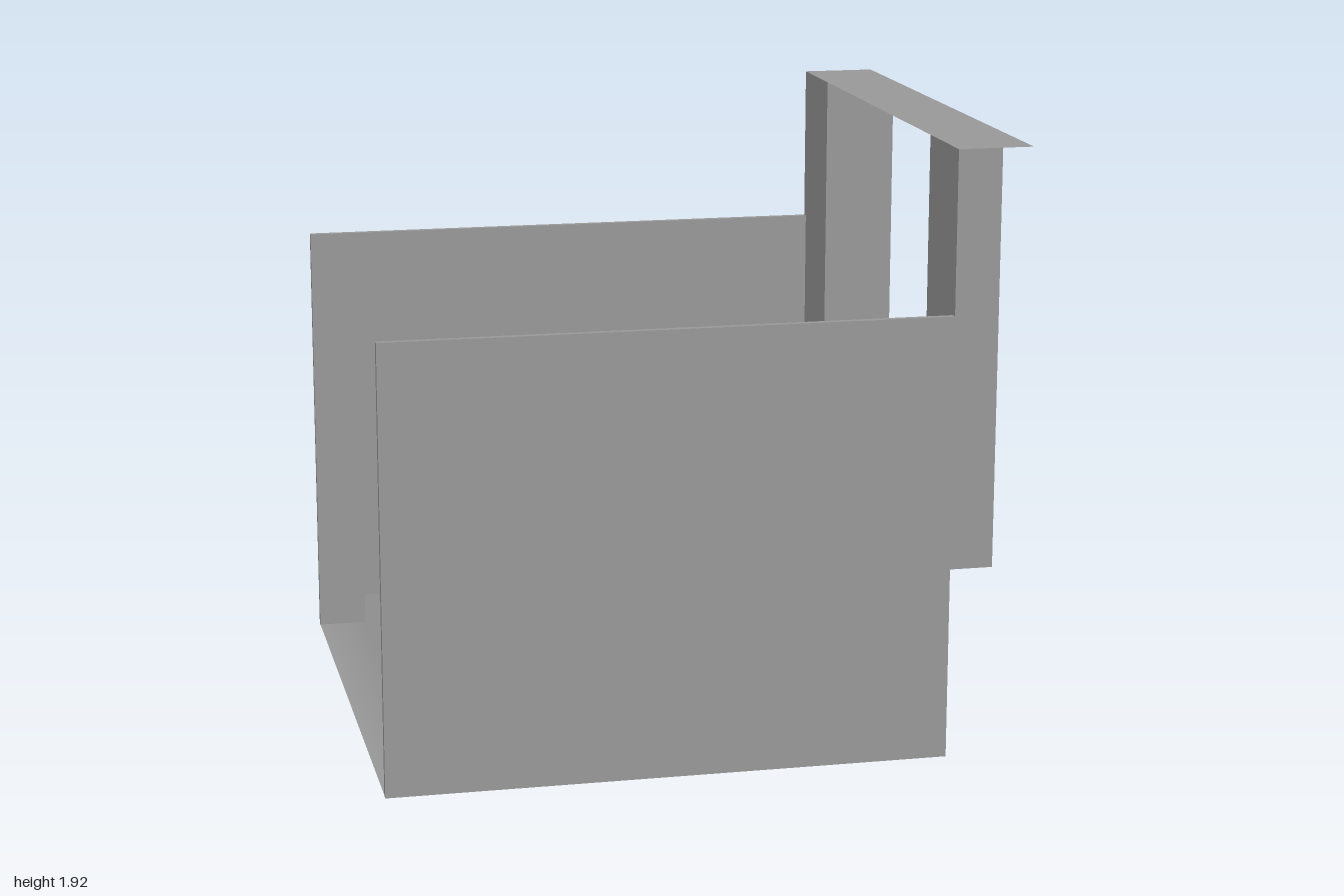
import * as THREE from 'three';

const material = new THREE.MeshStandardMaterial({ color: 0x999999, side: THREE.DoubleSide });

function addMesh(parent, name, geometry, x = 0, y = 0, z = 0) {
  const mesh = new THREE.Mesh(geometry, material);
  mesh.name = name;
  mesh.position.set(x, y, z);
  parent.add(mesh);
  return mesh;
}

// Sheet that follows an [x, y] path and spans the given half width in z.
// Shading is level at both ends and slopes at 45 degrees on the corners between.
function pathSheet(path, halfWidth) {
  const n = path.length;
  const geometry = new THREE.PlaneGeometry(1, 1, n - 1, 1);
  const { position, normal } = geometry.attributes;
  for (let i = 0; i < position.count; i++) {
    const k = i % n;
    position.setXYZ(i, ...path[k], i < n ? -halfWidth : halfWidth);
    if (k === 0 || k === n - 1) normal.setXYZ(i, 0, 1, 0);
    else normal.setXYZ(i, -Math.SQRT1_2, Math.SQRT1_2, 0);
  }
  return geometry;
}

// Hollow wall panel: a box without its +x end and its underside
function wallPanel(length, height, thickness) {
  const geometry = new THREE.BoxGeometry(length, height, thickness);
  const index = Array.from(geometry.index.array);
  geometry.setIndex([...index.slice(6, 18), ...index.slice(24)]);
  geometry.clearGroups();
  return geometry;
}

export function createModel() {
  const model = new THREE.Group();
  model.name = 'stairway';

  const doorX = 0.764, wallEndX = 0.767, endX = 1, floorY = 0.52, topY = 1.922;
  const outerZ = 0.889, innerZ = 0.867, openingZ = 0.6;
  const depth = endX - doorX, midX = (doorX + endX) / 2;

  // Steps and landing as one smooth-shaded sheet
  const steps = 5, firstRiser = -0.84, tread = 0.122, baseY = 0.003;
  const path = [[-1, baseY]];
  for (let i = 0; i < steps; i++) {
    const x = firstRiser + i * tread;
    path.push([x, Math.max(baseY, (i / steps) * floorY)], [x, ((i + 1) / steps) * floorY]);
  }
  path.push([doorX, floorY]);
  addMesh(model, 'stepsAndLanding', pathSheet(path, innerZ));

  // Threshold between the door jambs
  addMesh(model, 'threshold', pathSheet([[doorX, floorY], [endX, floorY]], openingZ));

  // Thin sheet over the doorway
  addMesh(model, 'lintel', pathSheet([[doorX, topY], [endX, topY]], outerZ));

  const wallHeight = 1.41, jambHeight = topY - floorY, jambY = (topY + floorY) / 2;
  for (const side of [1, -1]) {
    const label = side > 0 ? 'front' : 'back';

    // Side wall
    addMesh(model, label + 'Wall',
      wallPanel(wallEndX + 1, wallHeight, outerZ - innerZ),
      (wallEndX - 1) / 2, wallHeight / 2, side * (outerZ + innerZ) / 2);

    // L-shaped door jamb: one sheet facing the stairs, one lining the opening
    const jamb = new THREE.Group();
    jamb.name = label + 'Jamb';
    model.add(jamb);
    addMesh(jamb, 'jambFace', new THREE.PlaneGeometry(outerZ - openingZ, jambHeight),
      doorX, jambY, side * (outerZ + openingZ) / 2).rotation.y = -Math.PI / 2;
    addMesh(jamb, 'jambReveal', new THREE.PlaneGeometry(depth, jambHeight),
      midX, jambY, side * openingZ).rotation.y = side > 0 ? Math.PI : 0;
  }

  return model;
}
